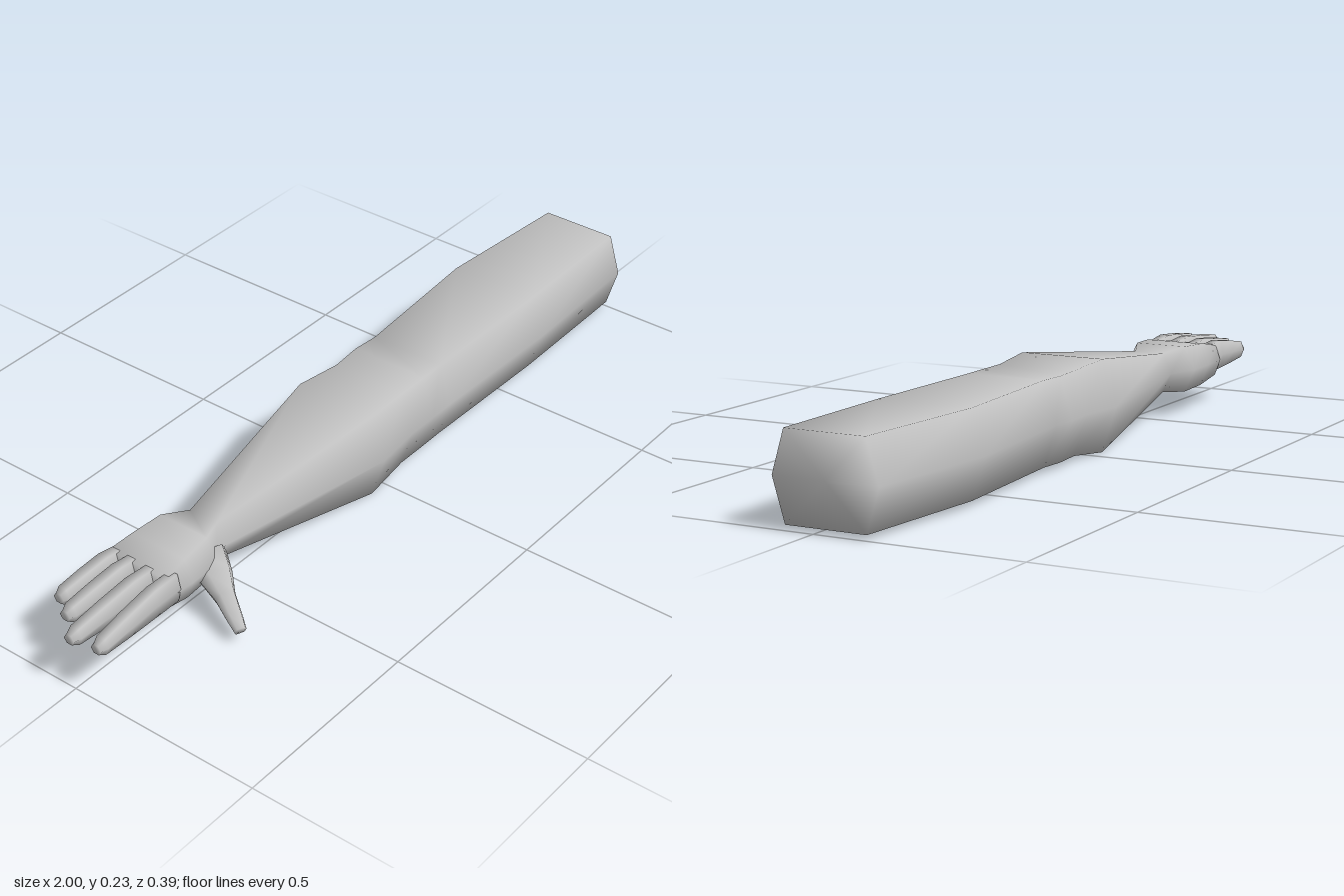
import * as THREE from 'three';

const skin = new THREE.MeshStandardMaterial({ color: 0xc0c0c0 });
skin.name = 'plainGrey';

// Six-sided ring: w and h are half sizes along u and v, inset narrows the top and bottom
function ring(centre, u, v, w, h, inset) {
  const k = w - inset;
  return [[w, 0], [k, h], [-k, h], [-w, 0], [-k, -h], [k, -h]].map(([a, b]) =>
    centre.clone().addScaledVector(u, a).addScaledVector(v, b));
}

// Smooth closed skin over a row of rings
function loft(name, rings) {
  const n = rings[0].length, last = (rings.length - 1) * n, index = [];
  const centre = r => r.reduce((s, p) => s.add(p), new THREE.Vector3()).divideScalar(n);
  const points = [...rings.flat(), centre(rings[0]), centre(rings.at(-1))];
  for (let j = 0; j < n; j++) {
    const k = (j + 1) % n;
    for (let i = 0; i < last; i += n) {
      index.push(i + j, i + k, i + n + j, i + k, i + n + k, i + n + j);
    }
    index.push(last + n, k, j, last + n + 1, last + j, last + k);
  }
  const geometry = new THREE.BufferGeometry().setFromPoints(points);
  geometry.setIndex(index);
  geometry.computeVertexNormals();
  const mesh = new THREE.Mesh(geometry, skin);
  mesh.name = name;
  return mesh;
}

const Y = new THREE.Vector3(0, 1, 0), Z = new THREE.Vector3(0, 0, 1);

// Ring across the arm, given its extents
const slice = ([x, bottom, top, back, front, inset]) => ring(
  new THREE.Vector3(x, (bottom + top) / 2, (back + front) / 2), Z, Y,
  (front - back) / 2, (top - bottom) / 2, inset);

export function createModel() {
  const model = new THREE.Group();
  model.name = 'arm';

  // Upper arm, elbow, forearm and wrist: x, bottom, top, back, front, inset
  model.add(loft('armAndPalm', [
    [1, 0.015, 0.22, -0.162, 0.1, 0.031],
    [0.62, 0.015, 0.22, -0.195, 0.112, 0.035],
    [0.235, 0.015, 0.22, -0.163, 0.104, 0.033],
    [0.165, 0.015, 0.22, -0.169, 0.105, 0.033],
    [0.08, 0.015, 0.22, -0.162, 0.105, 0.033],
    [-0.05, 0.002, 0.23, -0.175, 0.118, 0.037],
    [-0.53, 0.07, 0.172, -0.097, 0.032, 0.025],
    // Palm
    [-0.595, 0.064, 0.183, -0.132, 0.062, 0.028],
    [-0.68, 0.07, 0.18, -0.134, 0.066, 0.022],
    [-0.75, 0.088, 0.17, -0.137, 0.064, 0.015],
  ].map(slice)));

  // Fingers: name, tip x, centre z at the base and at the tip
  for (const [name, tip, z0, z1] of [
    ['indexFinger', -0.988, 0.046, 0.06],
    ['middleFinger', -1, -0.007, -0.008],
    ['ringFinger', -0.948, -0.061, -0.069],
    ['littleFinger', -0.913, -0.108, -0.121],
  ]) {
    // Fraction of the length, bottom, top, half width
    model.add(loft(name, [
      [0, 0.095, 0.17, 0.019],
      [0.3, 0.103, 0.176, 0.021],
      [0.62, 0.109, 0.168, 0.021],
      [0.93, 0.116, 0.158, 0.02],
      [1, 0.125, 0.149, 0.015],
    ].map(([t, bottom, top, w]) => {
      const z = z0 + (z1 - z0) * t;
      return slice([-0.72 + (tip + 0.72) * t, bottom, top, z - w, z + w, 0.008]);
    })));
  }

  // Thumb, pointing forward and down from the palm
  const along = new THREE.Vector3(-0.4, -0.42, 0.9).normalize();
  const across = new THREE.Vector3(0.91, 0, 0.4).normalize();
  const up = along.clone().cross(across);
  model.add(loft('thumb', [
    [-0.585, 0.112, 0.02, 0.052, 0.042],
    [-0.602, 0.09, 0.065, 0.04, 0.033],
    [-0.625, 0.07, 0.11, 0.025, 0.024],
    [-0.648, 0.05, 0.155, 0.02, 0.016],
    [-0.664, 0.037, 0.186, 0.015, 0.011],
  ].map(([x, y, z, w, h]) => ring(new THREE.Vector3(x, y, z), across, up, w, h, w * 0.35))));

  return model;
}
